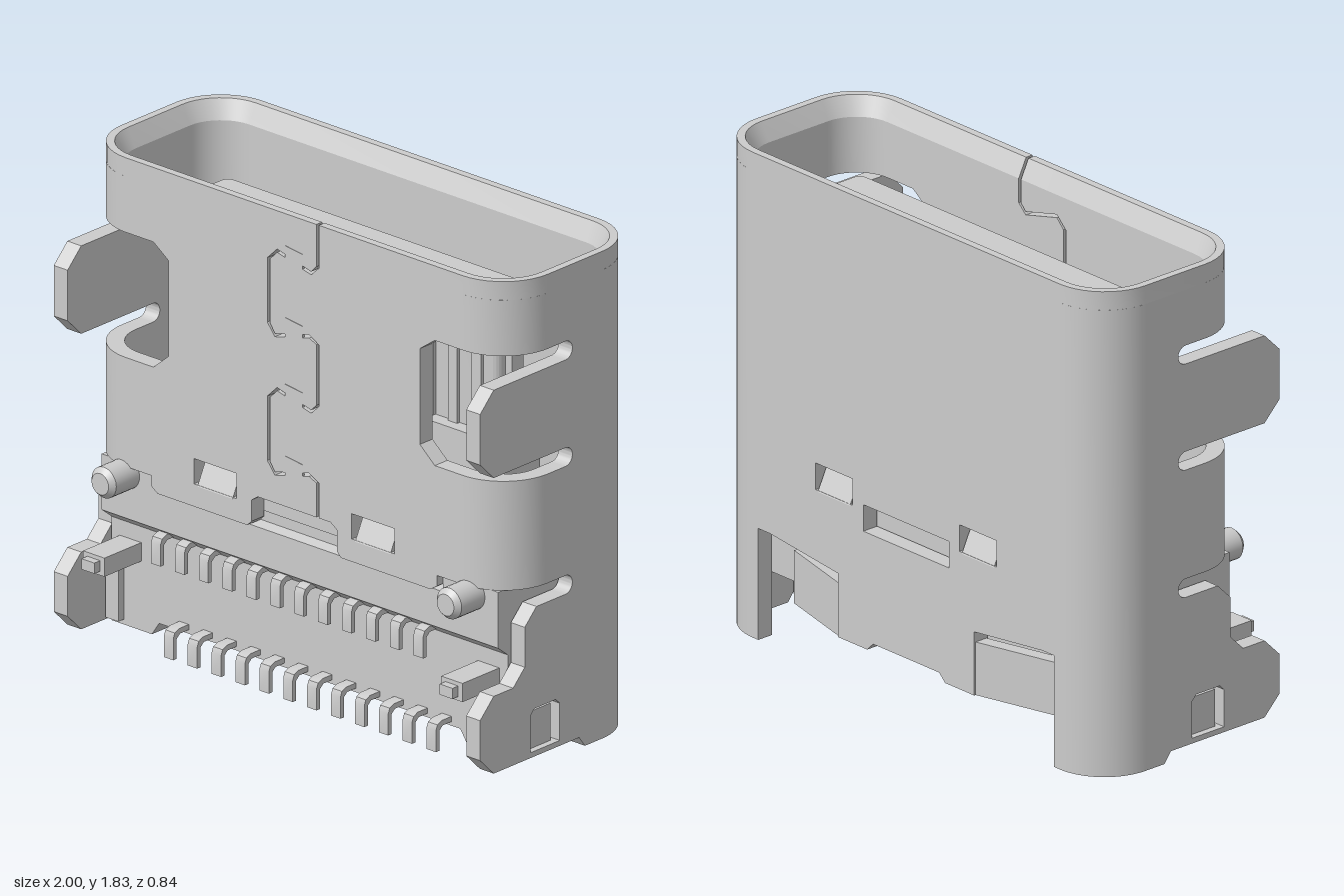
import * as THREE from 'three';
import { toCreasedNormals } from 'three/addons/utils/BufferGeometryUtils.js';

const T = 0.065, R = 0.21, CX = 0.79, ZF = 0.28, ZB = -0.42, RIM = 1.76, TOP = 1.83;

export function createModel() {
  const model = new THREE.Group();
  const mat = new THREE.MeshStandardMaterial({ color: 0xcccccc, side: THREE.DoubleSide });

  const add = (name, geo, parent = model) => {
    const mesh = new THREE.Mesh(toCreasedNormals(geo, 0.6), mat);
    mesh.name = name;
    parent.add(mesh);
    return mesh;
  };
  const poly = (pts) => new THREE.Shape(pts.map(([x, y]) => new THREE.Vector2(x, y)));
  const rect = (x0, x1, y0, y1) => poly([[x0, y0], [x1, y0], [x1, y1], [x0, y1]]);
  const box = (name, x0, x1, y0, y1, z0, z1) => add(name,
    new THREE.BoxGeometry(x1 - x0, y1 - y0, z1 - z0).translate((x0 + x1) / 2, (y0 + y1) / 2, (z0 + z1) / 2));
  const extrude = (shape, depth) => new THREE.ExtrudeGeometry(shape, { depth, bevelEnabled: false, curveSegments: 12 });
  // outline in (x, y), thickness along z
  const plate = (name, shape, z0, z1) => add(name, extrude(shape, z1 - z0).translate(0, 0, z0));
  // outline in (z, y), thickness along x, centred on x
  const sidePlate = (name, shape, x, w) => add(name,
    extrude(shape, w).translate(0, 0, -w / 2).rotateY(-Math.PI / 2).translate(x, 0, 0));
  // outline in (x, -z), thickness along y
  const prism = (name, shape, y0, y1) => add(name, extrude(shape, y1 - y0).rotateX(-Math.PI / 2).translate(0, y0, 0));
  const roundRect = (hx, z0, z1, r) => {
    const s = new THREE.Shape(), a = -z1 + r, b = -z0 - r, x = hx - r, q = Math.PI / 2;
    s.absarc(x, a, r, -q, 0).absarc(x, b, r, 0, q).absarc(-x, b, r, q, 2 * q).absarc(-x, a, r, 2 * q, 3 * q);
    return s;
  };

  // Shell: rounded corners, full height at the back, banded at the front
  const corner = (sx, sz, y0, y1) => {
    const s = new THREE.Shape(), cy = sz > 0 ? -(ZF - R) : -(ZB + R);
    const a = Math.atan2(-sz, sx) - Math.PI / 4, b = a + Math.PI / 2;
    s.absarc(sx * CX, cy, R, a, b, false).absarc(sx * CX, cy, R - T, b, a, true);
    prism('shellCorner', s, y0, y1);
  };
  // Shell side with mounting tabs and relief slots
  const sideShape = () => {
    const s = poly([[-0.21, 0], [-0.12, 0], [-0.09, 0.04], [0.35, 0.04], [0.42, 0.11], [0.42, 0.26], [0.35, 0.33],
      [0.25, 0.33], [0.19, 0.39], [0.19, 0.54], [0.13, 0.6]]);
    const q = Math.PI / 2;
    s.lineTo(-0.02, 0.6).absarc(-0.02, 0.635, 0.035, 3 * q, q, true);
    s.lineTo(0.07, 0.67).lineTo(0.07, 1.08).absarc(-0.02, 1.115, 0.035, 3 * q, q, true);
    s.lineTo(0.35, 1.15).lineTo(0.42, 1.22).lineTo(0.42, 1.41).lineTo(0.35, 1.48);
    s.absarc(-0.02, 1.515, 0.035, 3 * q, q, true);
    s.lineTo(0.07, 1.55).lineTo(0.07, RIM).lineTo(-0.21, RIM);
    s.holes.push(poly([[0.01, 0.06], [0.16, 0.06], [0.16, 0.2], [0.14, 0.22], [0.03, 0.22], [0.01, 0.2]]));
    return s;
  };
  for (const sx of [-1, 1]) {
    corner(sx, -1, 0, RIM);
    corner(sx, 1, 0.67, 1.08);
    corner(sx, 1, 1.55, RIM);
    sidePlate('shellSide', sideShape(), sx * (1 - T / 2), T);
    box('sideLatch', sx * 0.955 - 0.02, sx * 0.955 + 0.02, 0.06, 0.2, 0.03, 0.14);
  }

  // Back wall with raised lower edge, slot and spring windows
  const half = [[0.79, 0], [0.76, 0], [0.76, 0.42], [0.7, 0.42], [0.35, 0.38], [0.35, 0.14], [0.2, 0.14], [0.17, 0.17]];
  const back = poly([[-0.79, RIM], [0.79, RIM], ...half, ...half.map(([x, y]) => [-x, y]).reverse()]);
  back.holes.push(rect(-0.22, 0.22, 0.58, 0.68));
  for (const sx of [-1, 1]) back.holes.push(rect(sx * 0.37 - 0.095, sx * 0.37 + 0.095, 0.66, 0.76));
  plate('backWall', back, ZB, ZB + T);

  // Front wall in two halves along the interlocking seam
  const seam = [[0.11, RIM], [0.11, 1.67], [0.08, 1.64], [-0.08, 1.68], [-0.12, 1.64], [-0.12, 1.4], [-0.09, 1.36],
    [0.07, 1.4], [0.11, 1.38], [0.11, 1.15], [0.08, 1.12], [-0.08, 1.16], [-0.12, 1.12], [-0.12, 0.88],
    [-0.09, 0.84], [0.07, 0.88], [0.11, 0.86], [0.11, 0.73]];
  const frontEdge = [[0.17, 0.73], [0.2, 0.71], [0.2, 0.63], [0.22, 0.61], [0.64, 0.61], [0.67, 0.63], [0.67, 0.67],
    [0.79, 0.67], [0.79, 1.08], [0.66, 1.08], [0.59, 1.14], [0.59, 1.5], [0.66, 1.55], [0.79, 1.55], [0.79, RIM]];
  for (const sx of [-1, 1]) {
    const edge = seam.map(([x, y], i) => {
      const p = seam[Math.max(i - 1, 0)], n = seam[Math.min(i + 1, seam.length - 1)];
      const dx = n[0] - p[0], dy = n[1] - p[1], l = sx * 0.006 / Math.hypot(dx, dy);
      return [x - dy * l, i === 0 || i === seam.length - 1 ? y : y + dx * l];
    });
    const s = poly([...edge, ...frontEdge.map(([x, y]) => [x * sx, y])]);
    s.holes.push(rect(sx * 0.37 - 0.1, sx * 0.37 + 0.1, 0.695, 0.79));
    plate('frontWall', s, ZF - T, ZF);
  }
  for (const y of [1.65, 1.38, 1.13, 0.86]) {
    plate('seamStake', poly([[-0.04, y - 0.05], [0.04, y - 0.02], [0.04, y + 0.05], [-0.04, y + 0.06]]), ZF - 0.01, ZF + 0.002);
  }

  // Rim with an inner lead-in, split at the seam
  const path = [[0.116, ZF, 0, 1]];
  for (const [sx, cz, a0] of [[1, ZF - R, 90], [1, ZB + R, 0], [-1, ZB + R, -90], [-1, ZF - R, -180]]) {
    for (let i = 0; i <= 10; i++) {
      const a = THREE.MathUtils.degToRad(a0 - 9 * i), c = Math.cos(a), s = Math.sin(a);
      path.push([sx * CX + R * c, cz + R * s, c, s]);
    }
  }
  path.push([0.104, ZF, 0, 1]);
  const section = [[0, RIM], [0, TOP], [0.03, TOP], [T, RIM]];
  const pos = [], idx = [];
  for (const [x, z, nx, nz] of path) for (const [o, y] of section) pos.push(x - nx * o, y, z - nz * o);
  for (let i = 0; i < path.length - 1; i++) {
    for (let j = 0; j < 4; j++) {
      const a = i * 4 + j, b = i * 4 + (j + 1) % 4;
      idx.push(a, a + 4, b, b, a + 4, b + 4);
    }
  }
  const e = (path.length - 1) * 4;
  idx.push(0, 1, 2, 0, 2, 3, e, e + 2, e + 1, e, e + 3, e + 2);
  const rim = new THREE.BufferGeometry();
  rim.setAttribute('position', new THREE.Float32BufferAttribute(pos, 3));
  rim.setIndex(idx);
  add('rim', rim);

  // Spring flaps in the windows and bent arms at the lower back
  for (const sx of [-1, 1]) {
    for (const [sz, z, y] of [[1, ZF, 0.695], [-1, ZB, 0.66]]) {
      const flap = add('springFlap', new THREE.BoxGeometry(0.165, 0.1, 0.05).translate(0, 0.045, -sz * 0.026));
      flap.position.set(sx * 0.37, y, z);
      flap.rotation.x = -sz * 0.45;
    }
    const arm = add('backArm', new THREE.BoxGeometry(0.34, 0.2, 0.05).translate(sx * 0.17, 0.24, 0.03));
    arm.position.set(sx * 0.345, 0, ZB);
    arm.rotation.y = -sx * 0.25;
  }

  // Insulating body
  sidePlate('body', poly([[0.2, 0.08], [0.2, 0.42], [0.25, 0.46], [0.25, 0.6], [0.21, 0.61], [0.21, 0.66],
    [-0.35, 0.66], [-0.35, 0.38], [-0.2, 0.38], [-0.2, 0.14], [-0.06, 0.08]]), 0, 1.86);
  for (const sx of [-1, 1]) {
    box('bodyShoulder', sx * 0.8 - 0.13, sx * 0.8 + 0.13, 0.58, 0.67, 0.1, 0.25);
    plate('bodyFoot', poly([[0.7, 0.09], [0.74, 0.03], [0.93, 0.03], [0.93, 0.09]].map(([x, y]) => [x * sx, y])), -0.1, 0.2);
    box('footRib', sx * 0.9 - 0.03, sx * 0.9 + 0.03, 0.05, 0.25, 0.18, 0.23);
    // locating pegs
    const peg = new THREE.LatheGeometry([[0, 0.2], [0.04, 0.2], [0.058, 0.18], [0.058, 0], [0, 0]]
      .map(([r, y]) => new THREE.Vector2(r, y)).reverse(), 24);
    add('peg', peg.rotateX(Math.PI / 2).translate(sx * 0.81, 0.632, 0.19));
    box('smallPeg', sx * 0.84 - 0.05, sx * 0.84 + 0.05, 0.29, 0.36, 0.18, 0.39);
    box('smallPegTip', sx * 0.84 - 0.03, sx * 0.84 + 0.03, 0.305, 0.345, 0.38, 0.42);
  }

  // Tongue with middle plate, and inner ground shields
  prism('tongueBase', roundRect(0.75, -0.2, 0.06, 0.06), 0.65, 1.12);
  prism('tongue', roundRect(0.7, -0.145, 0.005, 0.03), 1.1, 1.65);
  box('middlePlate', -0.73, 0.73, 1.1, 1.6, -0.1, -0.04);
  for (const [z0, z1, c0, c1] of [[-0.355, -0.28, -0.29, -0.23], [0.14, 0.215, 0.09, 0.15]]) {
    box('shield', -0.52, 0.52, 0.65, 0.8, z0, z1);
    box('shieldStep', -0.27, 0.27, 0.65, 0.74, c0, c1);
  }

  // Contacts: hooked solder leads, tongue strips and tails under the body
  const hook = (d) => poly([[0.17, 0.45], [0.25, 0.45], [0.272, 0.44], [0.28, 0.42], [0.28, 0.34], [0.262, 0.34],
    [0.262, 0.415], [0.245, 0.43], [0.17, 0.43]].map(([z, y]) => [z, y + d]));
  for (let i = 0; i < 12; i++) {
    const x = (i - 5.5) * 0.112;
    sidePlate('upperLead', hook(0), x - 0.033, 0.044);
    sidePlate('lowerLead', hook(-0.335), x + 0.027, 0.044);
    box('frontContact', x - 0.022, x + 0.022, 1.1, 1.62, -0.01, 0.018);
    box('backContact', x - 0.022, x + 0.022, 1.1, 1.62, -0.158, -0.13);
    box('contactTail', x - 0.022, x + 0.022, 0.16, 0.2, -0.23, -0.19);
  }
  return model;
}
